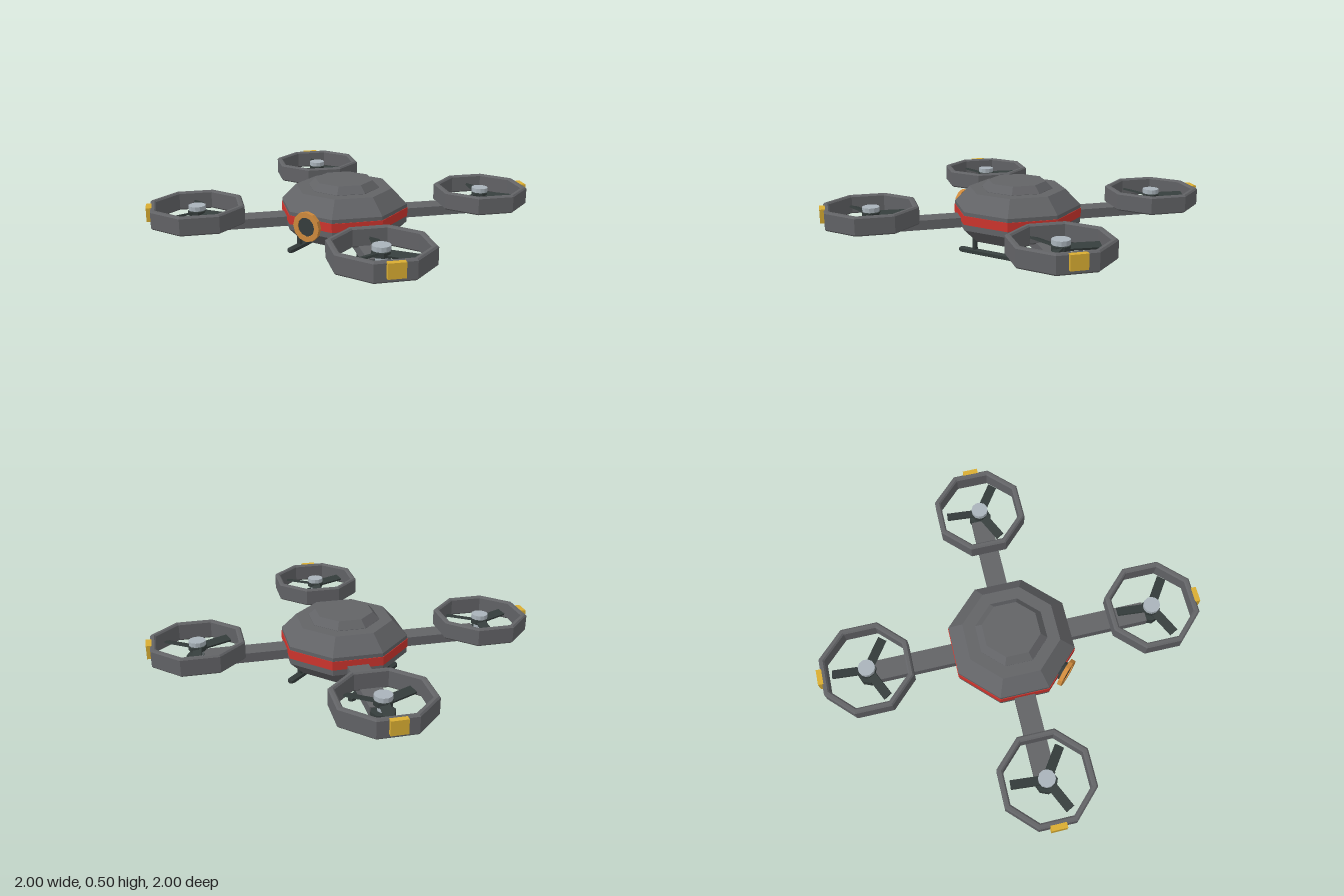
import * as THREE from 'three';

const paint = (name, hex) => {
  const m = new THREE.MeshStandardMaterial({ color: hex });
  m.name = name;
  return m;
};

// Faceted normals for a low-poly finish
function flat(geometry) {
  const g = geometry.index ? geometry.toNonIndexed() : geometry;
  g.computeVertexNormals();
  return g;
}

function add(parent, name, geometry, material, x = 0, y = 0, z = 0) {
  const mesh = new THREE.Mesh(flat(geometry), material);
  mesh.name = name;
  mesh.position.set(x, y, z);
  parent.add(mesh);
  return mesh;
}

// Octagonal solid from [flat-to-centre distance, height] pairs, flats on the axes
function octagon(profile) {
  const k = 1 / Math.cos(Math.PI / 8);
  const points = profile.map(([r, y]) => new THREE.Vector2(r * k, y));
  return new THREE.LatheGeometry(points, 8, Math.PI / 8);
}

export function createModel() {
  const grey = paint('hull grey', 0x626366);
  const dark = paint('dark rubber', 0x353d3c);
  const red = paint('signal red', 0xcd342d);
  const orange = paint('lens orange', 0xcf8a3c);
  const yellow = paint('lamp yellow', 0xd9ad32);
  const silver = paint('motor silver', 0xa9b3ba);

  const drone = new THREE.Group();
  drone.name = 'drone';

  // Hull, stripe and stepped cap
  add(drone, 'hull', octagon([[0, 0.12], [0.31, 0.12], [0.4, 0.215], [0.4, 0.34], [0.305, 0.445], [0, 0.445]]), grey);
  add(drone, 'stripe', octagon([[0.399, 0.255], [0.404, 0.255], [0.404, 0.315], [0.399, 0.315]]), red);
  add(drone, 'cap', octagon([[0.225, 0.44], [0.225, 0.447], [0.182, 0.495], [0, 0.495]]), grey);

  // Front camera
  const camera = new THREE.Group();
  camera.name = 'camera';
  camera.position.set(0, 0.277, 0);
  drone.add(camera);
  add(camera, 'lensBarrel', new THREE.CylinderGeometry(0.066, 0.066, 0.07, 12).rotateX(Math.PI / 2), dark, 0, 0, 0.41);
  const rim = [[0.064, 0.424], [0.1, 0.424], [0.1, 0.452], [0.064, 0.452], [0.064, 0.424]];
  add(camera, 'lensRing',
    new THREE.LatheGeometry(rim.map(p => new THREE.Vector2(...p)), 12).rotateX(Math.PI / 2), orange);

  // Four arms, each with motor, rotor, guard and lamp
  for (const sx of [-1, 1]) for (const sz of [-1, 1]) {
    const heading = Math.atan2(sx, sz);
    const arm = add(drone, 'arm', new THREE.BoxGeometry(0.14, 0.065, 0.58), grey, sx * 0.465, 0.243, sz * 0.465);
    arm.rotation.y = heading;

    const unit = new THREE.Group();
    unit.name = 'rotorUnit';
    unit.position.set(sx * 0.698, 0, sz * 0.698);
    drone.add(unit);

    add(unit, 'motorMount', new THREE.CylinderGeometry(0.077, 0.077, 0.06, 8), dark, 0, 0.24, 0);
    add(unit, 'motorShaft', new THREE.CylinderGeometry(0.035, 0.035, 0.1, 12), silver, 0, 0.31, 0);
    add(unit, 'rotorHub', new THREE.CylinderGeometry(0.06, 0.06, 0.03, 8), dark, 0, 0.325, 0);
    add(unit, 'motorCap', new THREE.CylinderGeometry(0.057, 0.057, 0.03, 12), silver, 0, 0.36, 0);

    for (let i = 0; i < 3; i++) {
      const blade = new THREE.BoxGeometry(0.2, 0.014, 0.062).rotateX(0.3).translate(0.135, 0, 0);
      add(unit, 'blade', blade, dark, 0, 0.325, 0).rotation.y = 0.18 + i * Math.PI * 2 / 3;
    }

    add(unit, 'guard', octagon([
      [0.29, 0.265], [0.3, 0.275], [0.3, 0.38], [0.29, 0.39],
      [0.272, 0.39], [0.262, 0.38], [0.262, 0.275], [0.272, 0.265], [0.29, 0.265],
    ]), grey);
    const lamp = new THREE.BoxGeometry(0.105, 0.092, 0.04).translate(0, 0, 0.307);
    add(unit, 'lamp', lamp, yellow, 0, 0.343, 0).rotation.y = heading;
  }

  // Landing skids
  for (const x of [-0.24, 0.24]) {
    const profile = [[0, -0.313], [0.018, -0.313], [0.028, -0.295], [0.028, 0.295], [0.018, 0.313], [0, 0.313]];
    const rail = new THREE.LatheGeometry(profile.map(p => new THREE.Vector2(...p)), 6, Math.PI / 6)
      .rotateX(Math.PI / 2).rotateZ(Math.PI / 6).scale(1, 0.8, 1);
    rail.computeBoundingBox();
    add(drone, 'skidRail', rail, dark, x, -rail.boundingBox.min.y, 0);
    for (const z of [-0.19, 0.19])
      add(drone, 'skidStrut', new THREE.CylinderGeometry(0.018, 0.018, 0.11, 8), dark, x, 0.08, z);
  }
  return drone;
}
